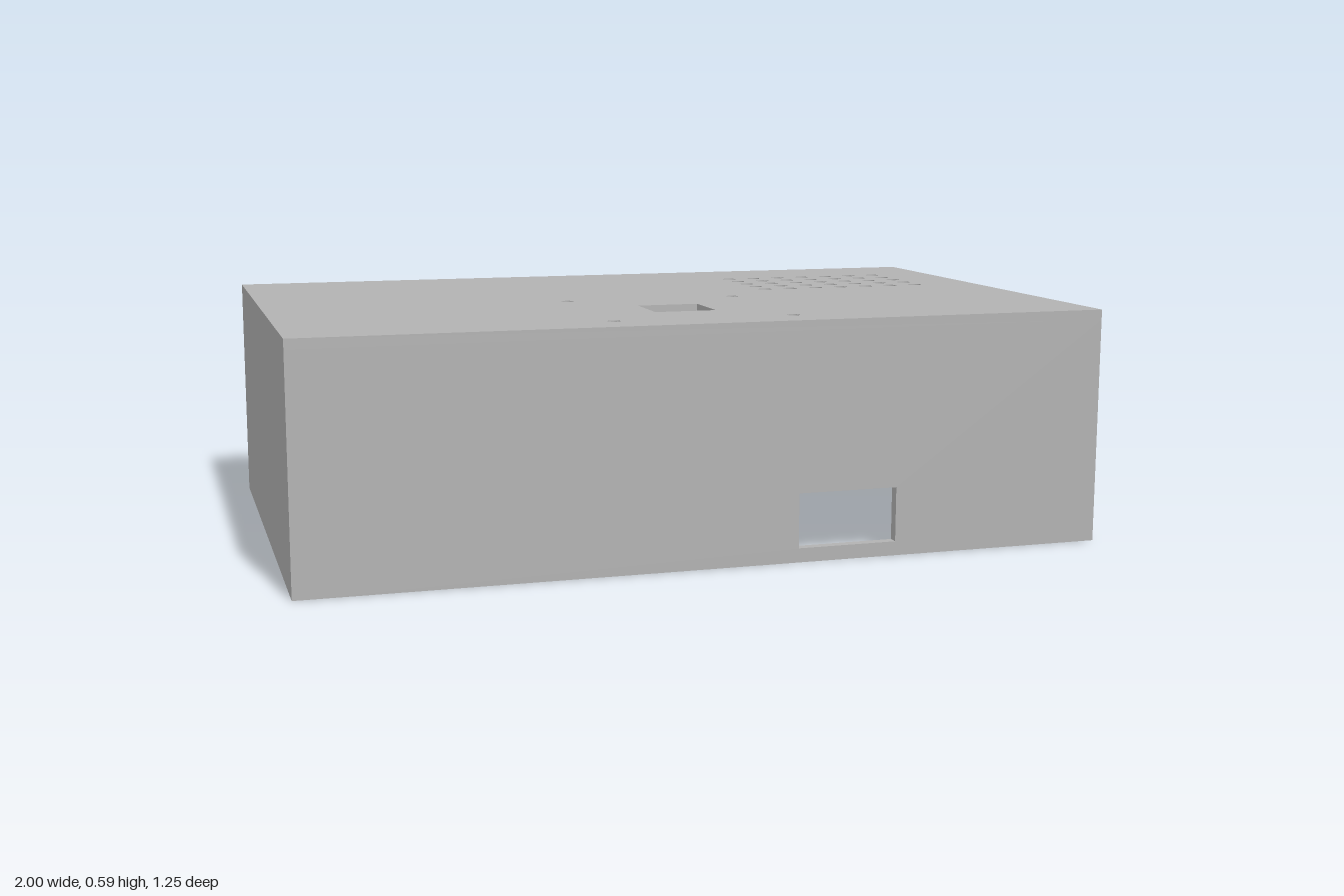
import * as THREE from 'three';

const W = 2, D = 1.25, H = 0.587, T = 0.025; // outer size and wall thickness

// Rectangular outline, used for panels and for their cut-outs
function rect(PathType, x0, y0, x1, y1) {
  const p = new PathType();
  p.moveTo(x0, y0);
  p.lineTo(x1, y0);
  p.lineTo(x1, y1);
  p.lineTo(x0, y1);
  p.closePath();
  return p;
}

function circle(x, y, r) {
  const p = new THREE.Path();
  p.absarc(x, y, r, 0, Math.PI * 2, true);
  return p;
}

export function createModel() {
  const group = new THREE.Group();
  group.name = 'enclosure';
  const grey = new THREE.MeshStandardMaterial({ color: 0xb2b2b2 });
  grey.name = 'grey plastic';

  // Flat panel of wall thickness with holes through it
  function panel(name, outline, holes) {
    outline.holes.push(...holes);
    const geo = new THREE.ExtrudeGeometry(outline, { depth: T, bevelEnabled: false, curveSegments: 12 });
    const mesh = new THREE.Mesh(geo, grey);
    mesh.name = name;
    group.add(mesh);
    return mesh;
  }

  // Lid: sensor window, four screw holes and a speaker grille (shape y = -z)
  const lidHoles = [rect(THREE.Path, -0.078, -0.365, 0.078, -0.215)];
  for (const x of [-0.225, 0.225]) {
    for (const z of [0.065, 0.515]) lidHoles.push(circle(x, -z, 0.0155));
  }
  for (let i = 0; i < 7; i++) {
    for (let j = 0; j < 5; j++) lidHoles.push(circle(0.374 + i * 0.075, 0.387 - j * 0.075, 0.0185));
  }
  const lid = panel('lid', rect(THREE.Shape, -W / 2, -D / 2, W / 2, D / 2), lidHoles);
  lid.rotation.x = -Math.PI / 2;
  lid.position.y = H - T;

  // Long walls, each with one rectangular opening
  const longWall = () => rect(THREE.Shape, -W / 2, 0, W / 2, H - T);
  panel('frontWall', longWall(), [rect(THREE.Path, 0.204, 0.035, 0.456, 0.17)]).position.z = D / 2 - T;
  panel('backWall', longWall(), [rect(THREE.Path, -0.762, 0.229, -0.162, 0.444)]).position.z = -D / 2;

  // Short plain walls between the long ones; the bottom stays open
  for (const [name, side] of [['leftWall', 1], ['rightWall', -1]]) {
    const wall = new THREE.Mesh(new THREE.BoxGeometry(T, H - T, D - 2 * T), grey);
    wall.name = name;
    wall.position.set(side * (W - T) / 2, (H - T) / 2, 0);
    group.add(wall);
  }
  return group;
}
